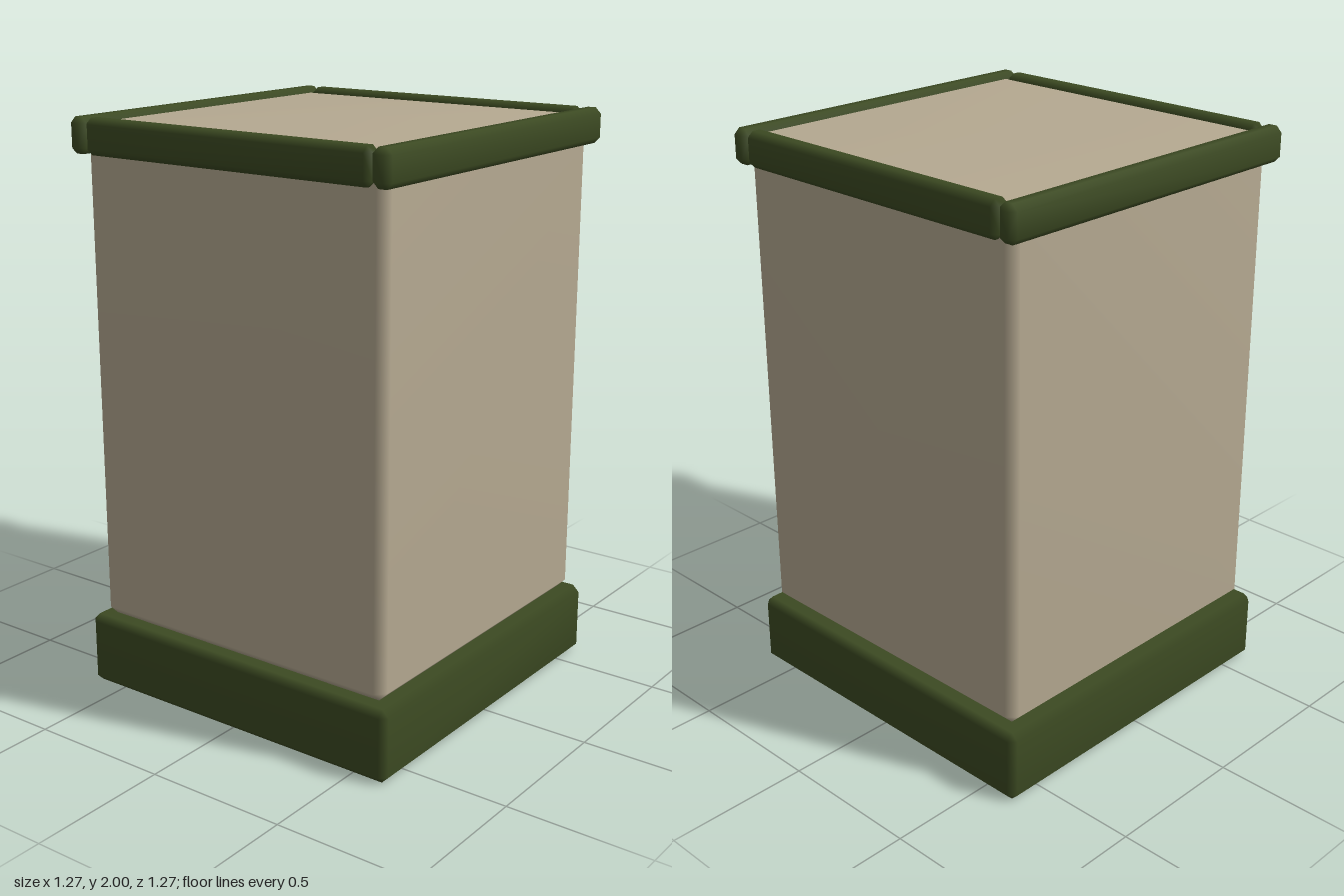
import * as THREE from 'three';
import { mergeVertices } from 'three/addons/utils/BufferGeometryUtils.js';
import { ConvexGeometry } from 'three/addons/geometries/ConvexGeometry.js';

// Box with chamfered edges and softly blended normals
function chamferBox(w, h, d, c) {
  const points = [];
  for (const sx of [-1, 1]) for (const sy of [-1, 1]) for (const sz of [-1, 1]) {
    const x = w / 2, y = h / 2, z = d / 2;
    points.push(
      new THREE.Vector3(sx * x, sy * (y - c), sz * (z - c)),
      new THREE.Vector3(sx * (x - c), sy * y, sz * (z - c)),
      new THREE.Vector3(sx * (x - c), sy * (y - c), sz * z)
    );
  }
  const geometry = new ConvexGeometry(points);
  geometry.deleteAttribute('normal');
  const merged = mergeVertices(geometry, 1e-4);
  merged.computeVertexNormals();
  return merged;
}

export function createModel() {
  const model = new THREE.Group();
  model.name = 'pedestal';

  const tan = new THREE.MeshStandardMaterial({ color: 0xb5a991 });
  tan.name = 'tan';
  const green = new THREE.MeshStandardMaterial({ color: 0x3c4a22 });
  green.name = 'dark green';

  // Adds a chamfered block standing between two heights
  function block(name, material, [w, d], [bottom, top], chamfer, x = 0, z = 0) {
    const mesh = new THREE.Mesh(chamferBox(w, top - bottom, d, chamfer), material);
    mesh.name = name;
    mesh.position.set(x, (bottom + top) / 2, z);
    model.add(mesh);
  }

  // Plinth and main body
  block('base', green, [1.27, 1.27], [0, 0.255], 0.024);
  block('body', tan, [1.2, 1.2], [0.255, 1.98], 0.033);

  // Rim: long rails on the sides, shorter ones between them
  for (const s of [-1, 1]) {
    block(s > 0 ? 'leftRail' : 'rightRail', green, [0.07, 1.27], [1.88, 2], 0.02, s * 0.6, 0);
    block(s > 0 ? 'frontRail' : 'backRail', green, [1.13, 0.07], [1.88, 2], 0.02, 0, s * 0.6);
  }

  return model;
}
